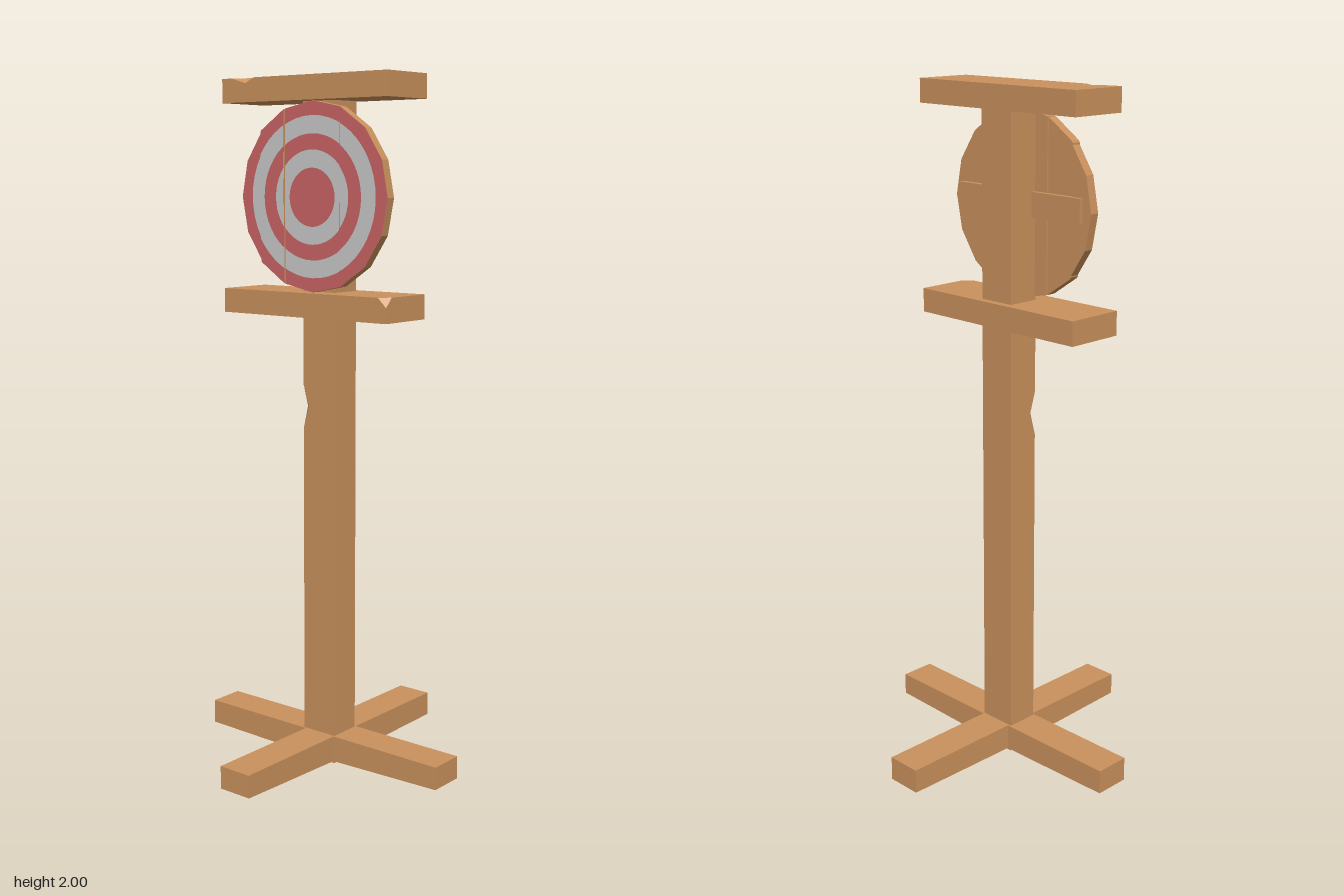
import * as THREE from 'three';

const wood = new THREE.MeshStandardMaterial({ color: 0xca915d });
wood.name = 'wood';
const red = new THREE.MeshStandardMaterial({ color: 0xca6465 });
red.name = 'red paint';
const white = new THREE.MeshStandardMaterial({ color: 0xc8c8c8 });
white.name = 'white paint';

function add(parent, name, geometry, material) {
  const mesh = new THREE.Mesh(geometry, material);
  mesh.name = name;
  parent.add(mesh);
  return mesh;
}

// Beam along x, lofted from rectangular sections. Each section is
// [x, chip in y, chip in z, lift of underside]; chips cut the top front edge.
function beam(sections, y0, y1, z0, z1) {
  const rings = sections.map(([x, cy = 0, cz = 0, lift = 0]) => [
    [y0 + lift, z0], [y1, z0], [y1, z1 - cz], [y1 - cy, z1], [y0 + lift, z1],
  ].map(([y, z]) => new THREE.Vector3(x, y, z)));
  const pos = [];
  const tri = (a, b, c) => {
    const area = b.clone().sub(a).cross(c.clone().sub(a)).length();
    if (area > 1e-9) for (const p of [a, b, c]) pos.push(p.x, p.y, p.z);
  };
  for (let k = 0; k < rings.length - 1; k++) {
    const r = rings[k], s = rings[k + 1];
    for (let i = 0; i < 5; i++) {
      const j = (i + 1) % 5;
      tri(r[i], r[j], s[j]);
      tri(r[i], s[j], s[i]);
    }
  }
  const first = rings[0], last = rings[rings.length - 1];
  for (let i = 1; i < 4; i++) {
    tri(first[0], first[i + 1], first[i]);
    tri(last[0], last[i], last[i + 1]);
  }
  const g = new THREE.BufferGeometry();
  g.setAttribute('position', new THREE.Float32BufferAttribute(pos, 3));
  g.computeVertexNormals();
  return g;
}

// Regular polygon cut to the strip x0..x1
function stripShape(radius, sides, x0, x1) {
  let pts = [];
  for (let i = 0; i < sides; i++) {
    const a = (i / sides) * Math.PI * 2;
    pts.push(new THREE.Vector2(radius * Math.cos(a), radius * Math.sin(a)));
  }
  for (const inside of [(p) => p.x - x0, (p) => x1 - p.x]) {
    const out = [];
    pts.forEach((p, i) => {
      const q = pts[(i + 1) % pts.length], dp = inside(p), dq = inside(q);
      if (dp >= 0) out.push(p);
      if (dp * dq < 0) out.push(p.clone().lerp(q, dp / (dp - dq)));
    });
    pts = out;
  }
  return pts.length > 2 ? new THREE.Shape(pts) : null;
}

export function createModel() {
  const model = new THREE.Group();
  model.name = 'targetStand';

  // Crossed feet, slightly hollowed towards their ends
  const foot = beam([[-0.43, 0, 0, 0.007], [0, 0, 0, 0], [0.425, 0, 0, 0.012]], 0.006, 0.085, -0.055, 0.052);
  add(model, 'footCrosswise', foot, wood);
  add(model, 'footLengthwise', foot, wood).rotation.y = -Math.PI / 2;

  // Post with a chip in its front edge
  const post = add(model, 'post', beam(
    [[0], [1.0], [1.065, 0.02, 0.02], [1.13], [1.935]], -0.055, 0.06, -0.05, 0.048), wood);
  post.rotation.z = Math.PI / 2;

  // Boards above and below the target
  add(model, 'topBoard', beam(
    [[-0.315], [-0.28], [-0.225, 0.015, 0.024], [-0.19], [0.28]], 1.932, 2.0, -0.073, 0.105), wood);
  add(model, 'lowerBoard', beam(
    [[-0.315], [0.252], [0.28, 0.027, 0.025]], 1.33, 1.4, -0.073, 0.105), wood);

  // Round target made of planks, with rings as thin layers of paint
  const target = new THREE.Group();
  target.name = 'target';
  target.position.set(-0.005, 1.666, 0);
  model.add(target);
  const planks = [
    [-0.27, -0.195, 0.042, 0.07],
    [-0.192, -0.103, 0.046, 0.074],
    [-0.1, 0.098, 0.044, 0.072],
    [0.101, 0.27, 0.047, 0.075],
  ];
  const rings = [[0.266, red, 16], [0.226, white, 48], [0.176, red, 48], [0.132, white, 48], [0.082, red, 48]];
  for (const [x0, x1, back, front] of planks) {
    const body = new THREE.ExtrudeGeometry(stripShape(0.266, 16, x0, x1), { depth: front - back, bevelEnabled: false });
    add(target, 'plank', body.translate(0, 0, back), wood);
    rings.forEach(([radius, paint, sides], i) => {
      const shape = stripShape(radius, sides, x0, x1);
      if (!shape) return;
      const face = new THREE.ShapeGeometry(shape);
      add(target, 'paintedRing', face.translate(0, 0, front + 0.0006 * (i + 1)), paint);
    });
  }

  // Batten across the back of the planks
  const batten = new THREE.BoxGeometry(0.47, 0.07, 0.018);
  add(target, 'batten', batten.translate(0, 0.005, 0.039), wood);

  return model;
}
